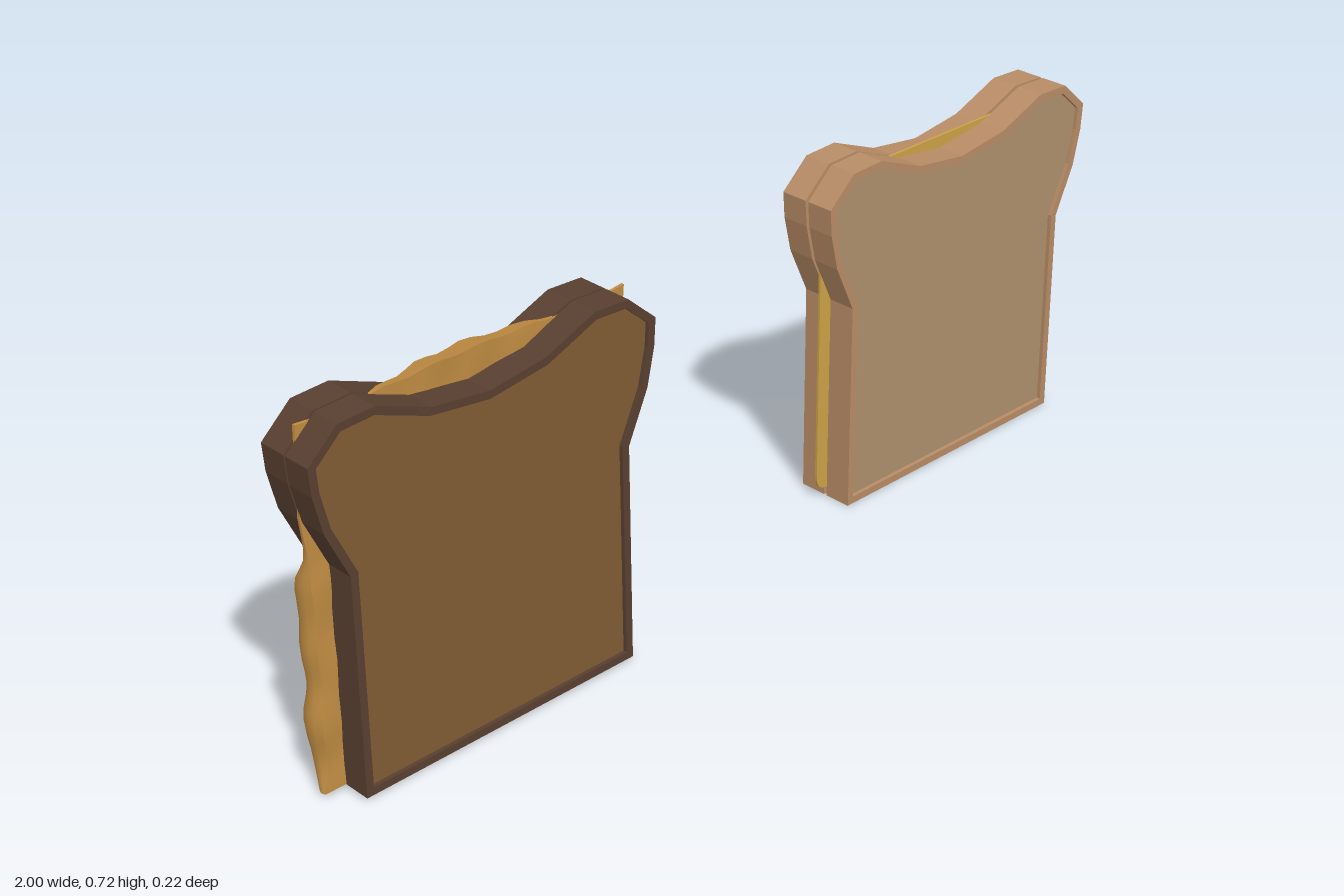
import * as THREE from 'three';

// Half outline of a slice, from the bottom corner up to the dip in the top
const HALF = [[0.3, 0], [0.3, 0.43], [0.345, 0.527], [0.362, 0.6], [0.366, 0.653],
  [0.305, 0.708], [0.23, 0.711], [0.12, 0.667]];
const DEPTH = 0.057, RECESS = 0.008, CRUST = 0.015;

// Whole outline, counter-clockwise
function outline() {
  const right = HALF.map(([x, y]) => new THREE.Vector2(x, y));
  const left = HALF.map(([x, y]) => new THREE.Vector2(-x, y)).reverse();
  return [...right, new THREE.Vector2(0, 0.651), ...left];
}

// Moves every corner inwards by d along its mitre
function inset(points, d) {
  const n = points.length;
  const normal = (a, b) => new THREE.Vector2(a.y - b.y, b.x - a.x).normalize();
  return points.map((p, i) => {
    const n1 = normal(points[(i + n - 1) % n], p);
    const n2 = normal(p, points[(i + 1) % n]);
    const m = n1.clone().add(n2);
    return p.clone().addScaledVector(m, d / (1 + n1.dot(n2)));
  });
}

function extrude(shape, depth) {
  const g = new THREE.ExtrudeGeometry(shape, { depth, bevelEnabled: false, curveSegments: 6 });
  return g.translate(0, 0, -depth / 2);
}

function part(name, geometry, color) {
  const mesh = new THREE.Mesh(geometry, new THREE.MeshStandardMaterial({ color }));
  mesh.name = name;
  return mesh;
}

// Crust ring around a slightly sunken crumb
function slice(name, z, crustColor, crumbColor) {
  const group = new THREE.Group();
  group.name = name;
  const outer = outline(), inner = inset(outer, CRUST);
  const ring = new THREE.Shape(outer);
  ring.holes.push(new THREE.Path(inner));
  group.add(part('crust', extrude(ring, DEPTH), crustColor));
  group.add(part('crumb', extrude(new THREE.Shape(inner), DEPTH - 2 * RECESS), crumbColor));
  group.position.z = z;
  return group;
}

// Thin square cheese slice with rounded corners
function cheeseSlice() {
  const w = 0.328, y0 = 0.02, y1 = 0.675, r = 0.03;
  const s = new THREE.Shape();
  s.moveTo(-w + r, y0);
  s.lineTo(w - r, y0);
  s.quadraticCurveTo(w, y0, w, y0 + r);
  s.lineTo(w, y1 - r);
  s.quadraticCurveTo(w, y1, w - r, y1);
  s.lineTo(-w + r, y1);
  s.quadraticCurveTo(-w, y1, -w, y1 - r);
  s.lineTo(-w, y0 + r);
  s.quadraticCurveTo(-w, y0, -w + r, y0);
  return extrude(s, 0.005);
}

// Melted cheese: a sheet that sags backwards along its sides and top
function meltedCheese() {
  const g = new THREE.BoxGeometry(0.69, 0.7, 0.006, 28, 28, 4);
  const p = g.attributes.position;
  const smooth = THREE.MathUtils.smoothstep;
  for (let i = 0; i < p.count; i++) {
    const x = p.getX(i), y = p.getY(i) + 0.35, z = p.getZ(i);
    const back = (0.003 - z) / 0.006;
    const side = smooth(Math.abs(x), 0.2, 0.28) * smooth(y, -0.03, 0.07) * (1 - smooth(y, 0.36, 0.5));
    const top = smooth(y, 0.56, 0.63) * Math.max(0, 1 - (x / 0.2) ** 2);
    const sag = Math.max(side, top);
    const ripple = 0.004 * Math.sin(y * 47 + x * 13) + 0.003 * Math.sin(x * 61 - y * 29 + 1);
    // Sagging rim is rounded and a little lumpy
    const rim = 1 - 0.03 * sag * (2 * back - 1) ** 2;
    p.setXYZ(i,
      x * (rim + ripple * 2),
      0.007 + y * (1 - 0.02 * top * back) + (y > 0.3 ? ripple : 0),
      0.003 + ripple * 0.5 * sag - back * (0.006 + (0.041 + ripple) * sag));
  }
  g.computeVertexNormals();
  return g;
}

export function createModel() {
  const root = new THREE.Group();
  root.name = 'sandwiches';

  // Untoasted sandwich
  const fresh = new THREE.Group();
  fresh.name = 'freshSandwich';
  fresh.add(slice('frontSlice', 0.032, 0xb88c66, 0xad8f6b));
  fresh.add(slice('backSlice', -0.032, 0xb88c66, 0xad8f6b));
  fresh.add(part('cheeseSlice', cheeseSlice(), 0xcca148));
  fresh.position.set(0.633, 0, -0.048);
  root.add(fresh);

  // Toasted sandwich
  const toasted = new THREE.Group();
  toasted.name = 'toastedSandwich';
  toasted.add(slice('frontSlice', 0.0305, 0x583f30, 0x805b34));
  toasted.add(slice('backSlice', -0.0305, 0x583f30, 0x805b34));
  const melt = part('meltedCheese', meltedCheese(), 0xc08c42);
  melt.position.y = -0.006;
  toasted.add(melt);
  toasted.position.set(-0.633, 0.007, 0.051);
  root.add(toasted);

  return root;
}
